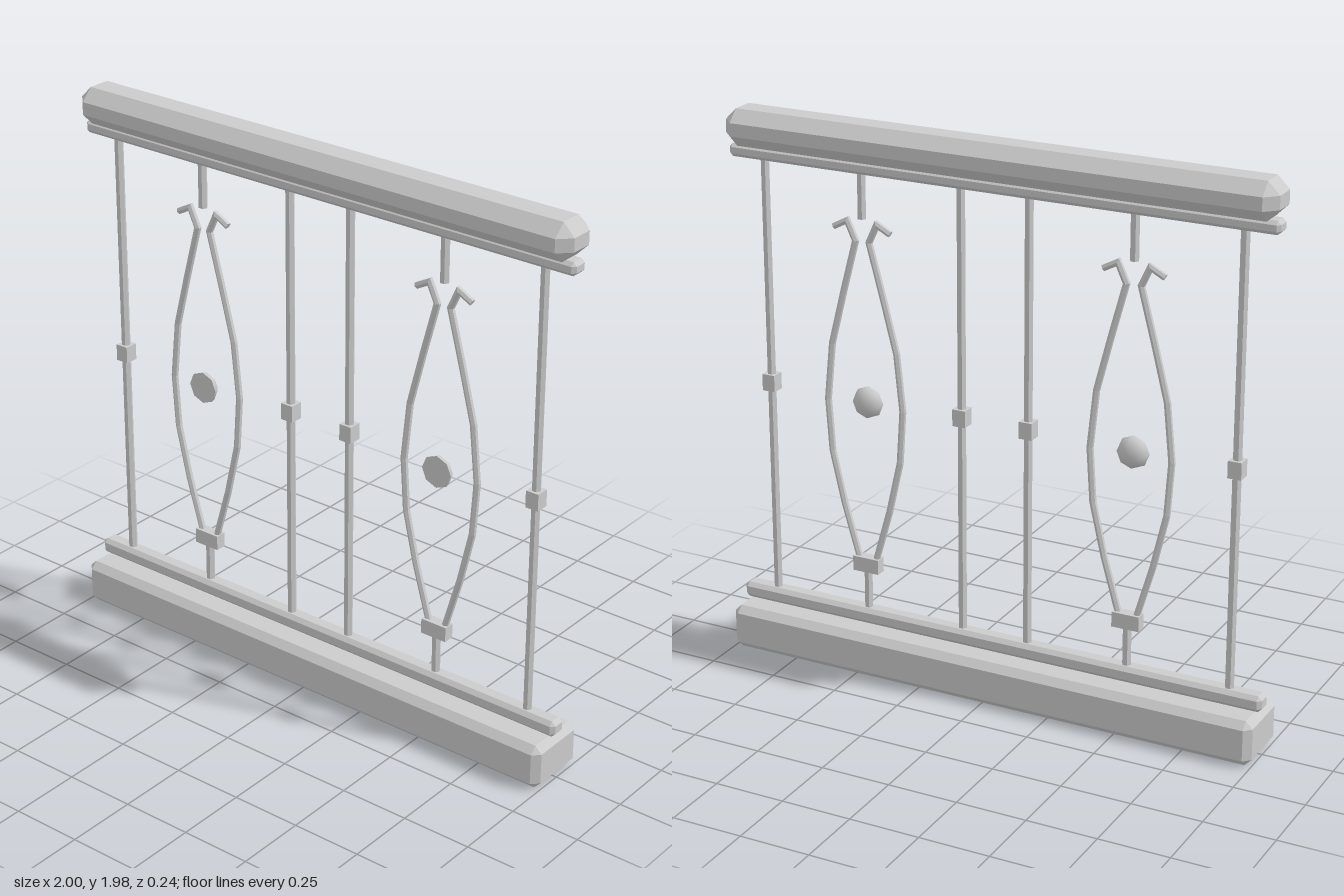
import * as THREE from 'three';
import { ConvexGeometry } from 'three/addons/geometries/ConvexGeometry.js';

const flat = new THREE.MeshStandardMaterial({ color: 0xcccccc, flatShading: true });
const smooth = new THREE.MeshStandardMaterial({ color: 0xcccccc });

function add(parent, name, geometry, x = 0, y = 0, z = 0, material = flat) {
  const mesh = new THREE.Mesh(geometry, material);
  mesh.name = name;
  mesh.position.set(x, y, z);
  parent.add(mesh);
  return mesh;
}

// Box with every edge and corner cut off by b
function chamferBox(w, h, d, b) {
  const pts = [];
  for (const sx of [-1, 1]) for (const sy of [-1, 1]) for (const sz of [-1, 1]) {
    for (let axis = 0; axis < 3; axis++) {
      const cut = [b, b, b];
      cut[axis] = 0;
      pts.push(new THREE.Vector3(sx * (w / 2 - cut[0]), sy * (h / 2 - cut[1]), sz * (d / 2 - cut[2])));
    }
  }
  return new ConvexGeometry(pts);
}

// Six-sided upright bar between two heights
function bar(parent, name, x, y0, y1) {
  add(parent, name, new THREE.CylinderGeometry(0.016, 0.016, y1 - y0, 6, 1, false, Math.PI / 2), x, (y0 + y1) / 2);
}

// Six-sided rod swept along a path in the xy plane with mitred corners
function sweptRod(path, r) {
  const sides = 6, pos = [], index = [];
  const p = path.map(([x, y]) => new THREE.Vector2(x, y));
  const n = p.length;
  p.forEach((c, i) => {
    const a = p[Math.max(i - 1, 0)], b = p[Math.min(i + 1, n - 1)];
    const d0 = (i > 0 ? c.clone().sub(a) : b.clone().sub(c)).normalize();
    const d1 = (i < n - 1 ? b.clone().sub(c) : d0.clone()).normalize();
    const t = d0.clone().add(d1).normalize();
    const mitre = r / t.dot(d1);
    for (let k = 0; k < sides; k++) {
      const ang = (k / sides) * Math.PI * 2;
      const s = Math.sin(ang) * mitre;
      pos.push(c.x + t.y * s, c.y - t.x * s, Math.cos(ang) * r);
    }
  });
  for (let i = 0; i < n - 1; i++) for (let k = 0; k < sides; k++) {
    const a = i * sides + k, b = i * sides + (k + 1) % sides;
    index.push(a, b, b + sides, a, b + sides, a + sides);
  }
  // end caps
  const last = (n - 1) * sides;
  for (let k = 1; k < sides - 1; k++) {
    index.push(0, k + 1, k, last, last + k, last + k + 1);
  }
  const g = new THREE.BufferGeometry();
  g.setAttribute('position', new THREE.Float32BufferAttribute(pos, 3));
  g.setIndex(index);
  const out = g.toNonIndexed();
  out.computeVertexNormals();
  return out;
}

export function createModel() {
  const model = new THREE.Group();
  model.name = 'railing';

  // Horizontal members
  add(model, 'base', chamferBox(2, 0.162, 0.24, 0.025), 0, 0.081);
  add(model, 'lowerRail', chamferBox(2, 0.058, 0.066, 0.014), 0, 0.192);
  add(model, 'upperRail', chamferBox(2, 0.046, 0.066, 0.012), 0, 1.827);
  add(model, 'handrail', chamferBox(2, 0.13, 0.164, 0.042), 0, 1.913);

  // Plain balusters with a square knot in the middle
  for (const x of [-0.875, -0.125, 0.125, 0.875]) {
    const baluster = new THREE.Group();
    baluster.name = 'baluster';
    bar(baluster, 'balusterBar', x, 0.21, 1.815);
    add(baluster, 'balusterKnot', new THREE.BoxGeometry(0.048, 0.06, 0.048), x, 1.003);
    model.add(baluster);
  }

  // Right-hand half of the ornament, from the collar up to the hook
  const half = [
    [0.027, 0.38], [0.038, 0.42], [0.09, 0.6], [0.134, 0.79], [0.147, 0.98],
    [0.126, 1.185], [0.076, 1.38], [0.026, 1.565], [0.057, 1.632], [0.108, 1.605],
  ];

  for (const x of [-0.5, 0.5]) {
    const ornament = new THREE.Group();
    ornament.name = 'ornament';
    ornament.position.x = x;
    bar(ornament, 'lowerStub', 0, 0.21, 0.37);
    bar(ornament, 'upperStub', 0, 1.645, 1.815);
    add(ornament, 'collar', new THREE.BoxGeometry(0.1, 0.054, 0.04), 0, 0.385);
    for (const s of [-1, 1]) {
      add(ornament, 'curvedRod', sweptRod(half.map(([px, py]) => [s * px, py]), 0.012));
    }
    // Medallion: flat in front, domed behind
    const dome = new THREE.SphereGeometry(0.058, 8, 4, 0, Math.PI * 2, 0, Math.PI / 2);
    dome.rotateX(-Math.PI / 2);
    dome.scale(1, 1, 0.75);
    add(ornament, 'medallionDome', dome, 0, 0.983, 0.022, smooth);
    add(ornament, 'medallionFace', new THREE.CircleGeometry(0.058, 8), 0, 0.983, 0.022);
    model.add(ornament);
  }

  return model;
}
